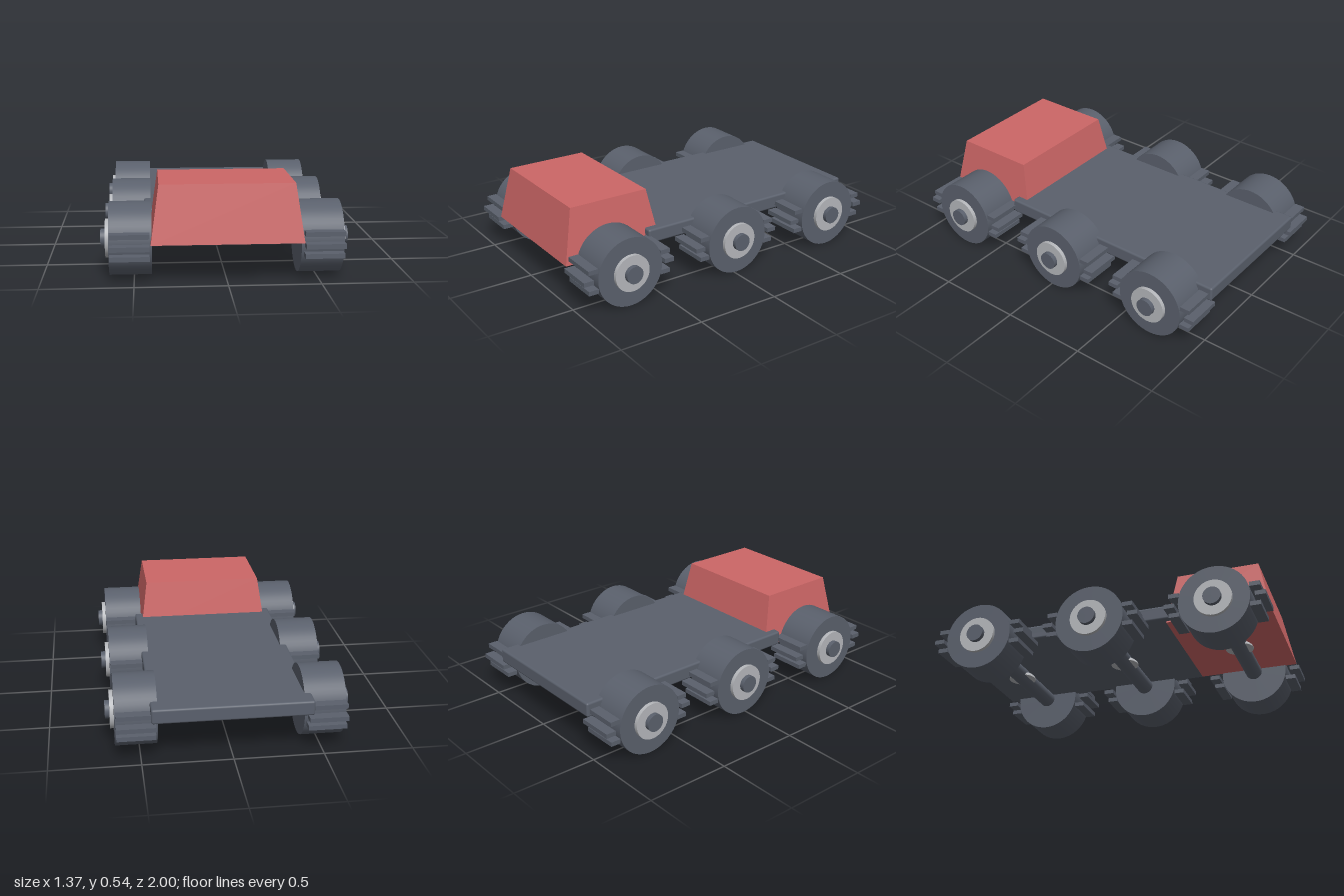
import * as THREE from 'three';
import { RoundedBoxGeometry } from 'three/addons/geometries/RoundedBoxGeometry.js';

function material(name, color) {
  const m = new THREE.MeshStandardMaterial({ color });
  m.name = name;
  return m;
}

export function createModel() {
  const darkGrey = material('dark grey', 0x5a606c);
  const lightGrey = material('light grey', 0xb5b7bb);
  const red = material('red', 0xcc6666);
  const model = new THREE.Group();
  model.name = 'sixWheeledTruck';

  function add(parent, name, geometry, mat, x = 0, y = 0, z = 0) {
    const mesh = new THREE.Mesh(geometry, mat);
    mesh.name = name;
    mesh.position.set(x, y, z);
    parent.add(mesh);
    return mesh;
  }

  // Cylinder lying along x
  const rod = (radius, length) =>
    new THREE.CylinderGeometry(radius, radius, length, 48).rotateZ(Math.PI / 2);

  // Flat load bed with softened edges
  add(model, 'bed', new RoundedBoxGeometry(0.886, 0.085, 1.455, 3, 0.012), darkGrey, 0, 0.272, -0.262);

  // Cab: a box tapering towards the roof
  const cab = new THREE.BoxGeometry(0.82, 0.315, 0.61);
  const p = cab.attributes.position;
  for (let i = 0; i < p.count; i++) {
    if (p.getY(i) > 0) {
      p.setX(i, Math.sign(p.getX(i)) * 0.365);
      p.setZ(i, Math.sign(p.getZ(i)) * 0.242);
    }
  }
  cab.computeVertexNormals();
  add(model, 'cab', cab, red, 0, 0.3775, 0.678);

  const wheelY = 0.203;
  const wheel = rod(0.203, 0.232);
  const hub = rod(0.107, 0.03);
  const axle = rod(0.051, 1.366);
  const tread = new THREE.BoxGeometry(0.215, 0.026, 0.06);

  // Flattened half sphere with a closed underside
  const R = 0.084;
  const profile = [new THREE.Vector2(0, 0), new THREE.Vector2(R, 0), new THREE.Vector2(R, 0)];
  for (let i = 1; i <= 10; i++) {
    const a = (i / 10) * Math.PI / 2;
    profile.push(new THREE.Vector2(i === 10 ? 0 : R * Math.cos(a), 0.0415 * Math.sin(a)));
  }
  const dome = new THREE.LatheGeometry(profile, 32);

  // Three axles, each with a differential and two treaded wheels
  ['front', 'middle', 'rear'].forEach((label, i) => {
    const group = new THREE.Group();
    group.name = label + 'AxleAssembly';
    group.position.set(0, wheelY, [0.71, -0.018, -0.713][i]);
    model.add(group);
    add(group, 'axle', axle, darkGrey);
    add(group, 'differential', dome, lightGrey, 0, -0.02, 0);

    for (const side of [-1, 1]) {
      add(group, 'wheel', wheel, darkGrey, side * 0.519, 0, 0);
      add(group, 'hub', hub, lightGrey, side * 0.642, 0, 0);
      // Tread bars ahead of and behind the wheel
      for (const end of [-1, 1]) {
        for (const row of [-1, 0, 1]) {
          const reach = row === 0 ? 0.257 : 0.228;
          add(group, 'treadBar', tread, darkGrey, side * 0.5225, row * 0.06, end * reach);
        }
      }
    }
  });

  return model;
}
